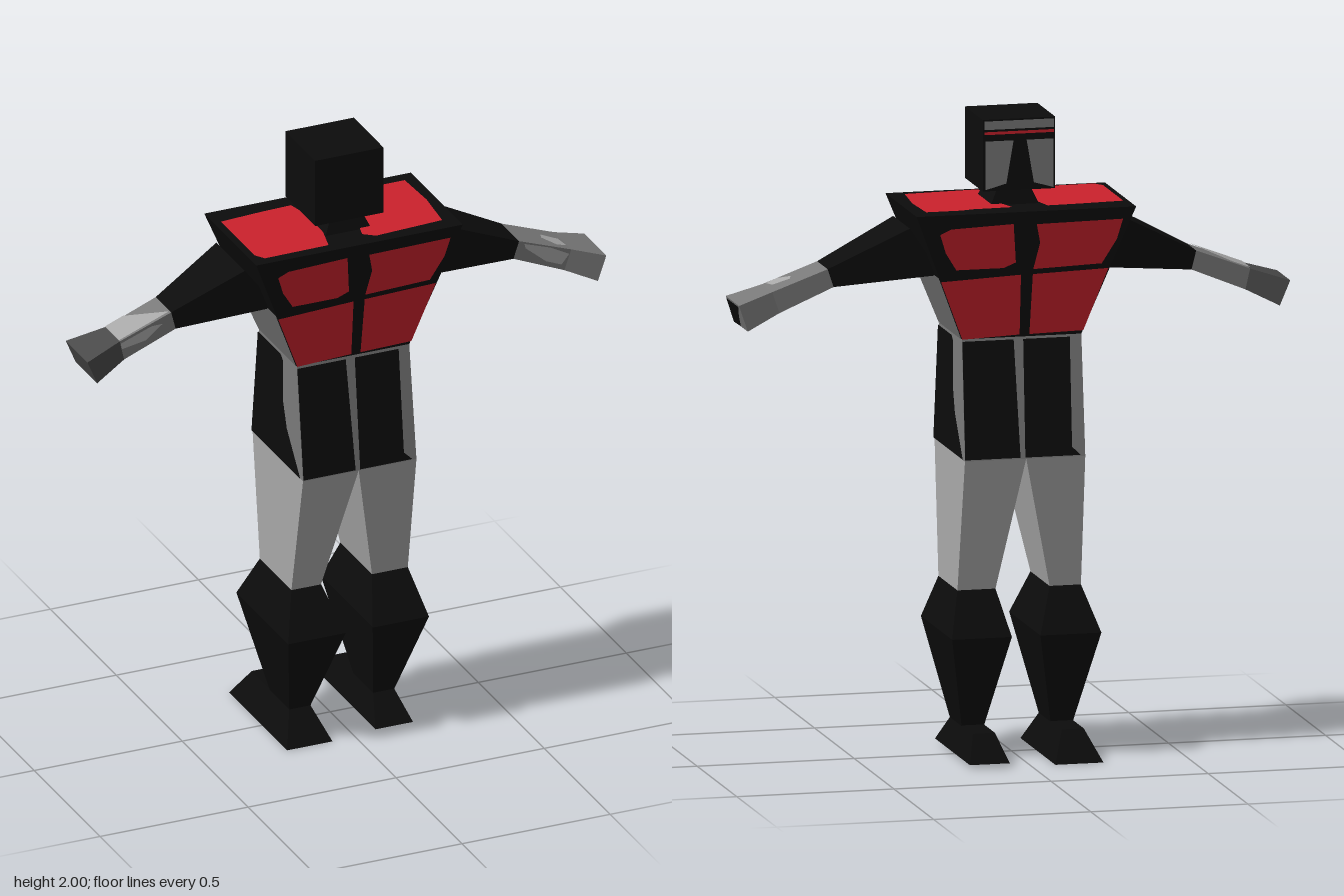
import * as THREE from 'three';

const mat = (name, color) => {
  const m = new THREE.MeshStandardMaterial({ color });
  m.name = name;
  return m;
};

// Four-cornered rings. Ring order is counter-clockwise seen from the far end.
// Upright ring: side 0 = +z, 1 = +x, 2 = -z, 3 = -x
const ringY = (y, x0, x1, z0, z1) =>
  [[x0, y, z1], [x1, y, z1], [x1, y, z0], [x0, y, z0]].map(p => new THREE.Vector3(...p));
// Sideways ring: side 0 = bottom, 1 = -z, 2 = top, 3 = +z
const ringX = (xt, yt, xb, yb, z0, z1) =>
  [[xb, yb, z1], [xb, yb, z0], [xt, yt, z0], [xt, yt, z1]].map(p => new THREE.Vector3(...p));

// Outer quad of one side between two rings
const side = (a, b, i) => [a[i], a[(i + 1) % 4], b[(i + 1) % 4], b[i]];

function build(parent, name, points, material) {
  const geo = new THREE.BufferGeometry().setFromPoints(points);
  geo.computeVertexNormals();
  const mesh = new THREE.Mesh(geo, material);
  mesh.name = name;
  parent.add(mesh);
}

// Closed faceted solid through a row of rings
function loft(parent, name, rings, material) {
  const pts = [];
  const quad = (a, b, c, d) => pts.push(a, b, c, a, c, d);
  for (let k = 0; k + 1 < rings.length; k++)
    for (let i = 0; i < 4; i++) quad(...side(rings[k], rings[k + 1], i));
  quad(...[...rings[0]].reverse());
  quad(...rings[rings.length - 1]);
  build(parent, name, pts, material);
}

// Thin painted patch laid on a quad, outlined in the quad's own 0..1 coordinates
function panel(parent, name, quad, uv, material, lift = 0.004) {
  const outline = uv.map(p => new THREE.Vector2(...p));
  if (THREE.ShapeUtils.isClockWise(outline)) outline.reverse();
  const [bl, br, tr, tl] = quad;
  const normal = tr.clone().sub(bl).cross(tl.clone().sub(br)).normalize().multiplyScalar(lift);
  const place = p => bl.clone().lerp(br, p.x).lerp(tl.clone().lerp(tr, p.x), p.y).add(normal);
  const pts = THREE.ShapeUtils.triangulateShape(outline, []).flatMap(f => f.map(i => place(outline[i])));
  build(parent, name, pts, material);
}

const rect = (u0, v0, u1, v1) => [[u0, v0], [u1, v0], [u1, v1], [u0, v1]];

export function createModel() {
  const model = new THREE.Group();
  model.name = 'armouredFigure';
  const black = mat('black', 0x0c0c0c);
  const red = mat('red', 0xcc212c);
  const light = mat('lightGrey', 0xa8a8a8);
  const grey = mat('midGrey', 0x7a7a7a);
  const dark = mat('darkGrey', 0x4a4a4a);

  const group = name => {
    const g = new THREE.Group();
    g.name = name;
    model.add(g);
    return g;
  };

  // Head with visor face on -z
  const head = group('head');
  const jaw = ringY(1.775, -0.125, 0.105, -0.058, 0.167);
  const crown = ringY(2, -0.125, 0.105, -0.058, 0.167);
  loft(head, 'helmet', [jaw, crown], black);
  loft(head, 'neck', [ringY(1.715, -0.085, 0.075, -0.025, 0.15), ringY(1.78, -0.055, 0.045, -0.01, 0.13)], black);
  const face = side(jaw, crown, 2);
  panel(head, 'brow', face, rect(0.02, 0.86, 0.98, 0.98), grey);
  panel(head, 'browStripe', face, rect(0.02, 0.79, 0.98, 0.83), red);
  panel(head, 'cheek', face, [[0.03, 0.02], [0.32, 0.1], [0.42, 0.7], [0.03, 0.7]], grey);
  panel(head, 'cheek', face, [[0.97, 0.02], [0.7, 0.1], [0.6, 0.7], [0.97, 0.7]], grey);

  // Chest with armour panels
  const chest = group('chest');
  const waist = ringY(1.32, -0.2, 0.18, -0.09, 0.195);
  const shoulders = ringY(1.723, -0.36, 0.338, -0.147, 0.247);
  loft(chest, 'chestBody', [waist, shoulders], black);
  const chestPanels = [
    [[0.08, 0.85], [0.14, 0.89], [0.44, 0.91], [0.45, 0.6], [0.38, 0.56], [0.11, 0.56], [0.08, 0.7]],
    [[0.55, 0.9], [0.96, 0.91], [0.97, 0.75], [0.94, 0.56], [0.55, 0.54], [0.575, 0.75]],
    [[0, 0.47], [0.48, 0.5], [0.48, 0.02], [0, 0]],
    [[0.55, 0.5], [0.99, 0.52], [1, 0.03], [0.56, 0.02]],
  ];
  for (const i of [0, 2])
    for (const p of chestPanels) panel(chest, 'chestPanel', side(waist, shoulders, i), p, red);
  for (const i of [1, 3]) panel(chest, 'ribPanel', side(waist, shoulders, i), rect(0, 0, 1, 0.5), grey, 0.002);
  panel(chest, 'shoulderPanel', shoulders,
    [[0.03, 0.8], [0.24, 0.83], [0.38, 0.84], [0.41, 0.6], [0.4, 0.3], [0.37, 0.08], [0.06, 0.07], [0.03, 0.15]], red);
  panel(chest, 'shoulderPanel', shoulders,
    [[0.54, 0.84], [0.72, 0.85], [0.78, 0.88], [0.94, 0.88], [0.95, 0.5], [0.93, 0.12], [0.6, 0.08], [0.55, 0.15], [0.6, 0.5]], red);

  // Abdomen with dark plates
  const abdomen = group('abdomen');
  const hips = ringY(0.945, -0.2, 0.183, -0.14, 0.243);
  loft(abdomen, 'abdomenBody', [hips, waist], grey);
  for (const i of [0, 2]) {
    const q = side(hips, waist, i);
    panel(abdomen, 'bellyPlate', q, [[0, 0.01], [0.46, 0.01], [0.43, 0.98], [0, 0.98]], black);
    panel(abdomen, 'bellyPlate', q, [[0.5, 0.01], [0.96, 0.01], [0.89, 0.08], [0.9, 0.98], [0.51, 0.98]], black);
  }
  for (const i of [1, 3])
    panel(abdomen, 'flankPlate', side(hips, waist, i),
      [[0, 0.01], [0.97, 0.01], [0.72, 0.35], [0.65, 0.56], [0.66, 0.94], [0.6, 0.98], [0, 0.98]], black);

  // Legs: [hip x, knee x, calf x, ankle x, sole x, sole y]
  const legs = {
    rightLeg: [[-0.2, -0.012], [-0.2, -0.1], [-0.247, -0.053], [-0.185, -0.115], [-0.23, -0.077], 0],
    leftLeg: [[-0.012, 0.183], [0.072, 0.193], [0.038, 0.228], [0.098, 0.168], [0.068, 0.195], 0.012],
  };
  for (const [name, [hip, knee, calf, ankle, sole, y]] of Object.entries(legs)) {
    const leg = group(name);
    const kneeRing = ringY(0.53, ...knee, -0.085, 0.155);
    loft(leg, 'thigh', [kneeRing, ringY(0.945, ...hip, -0.14, 0.243)], light);
    loft(leg, 'boot', [ringY(0.09, ...ankle, -0.04, 0.105), ringY(0.39, ...calf, -0.157, 0.237), kneeRing], black);
    loft(leg, 'foot', [ringY(y, ...sole, -0.25, 0.19), ringY(0.096, ...ankle, -0.18, 0.105)], black);
  }

  // Right arm, from hand to shoulder
  const rightArm = group('rightArm');
  const r = [
    ringX(-0.88, 1.443, -0.847, 1.365, -0.03, 0.135),
    ringX(-0.76, 1.48, -0.745, 1.415, 0, 0.11),
    ringX(-0.587, 1.546, -0.572, 1.487, -0.005, 0.112),
    ringX(-0.36, 1.665, -0.25, 1.52, -0.055, 0.16),
  ];
  loft(rightArm, 'hand', [r[0], r[1]], dark);
  loft(rightArm, 'forearm', [r[1], r[2]], grey);
  loft(rightArm, 'upperArm', [r[2], r[3]], black);
  panel(rightArm, 'forearmPatch', side(r[1], r[2], 3), [[0.1, 0], [0.4, 0], [0.65, 0.45], [0.3, 0.8], [0.1, 0.6]], light);
  panel(rightArm, 'forearmPatch', side(r[1], r[2], 2), [[0.02, 0], [0.02, 0.35], [0.95, 0.98], [0.98, 0]], light);

  // Left arm, from shoulder to hand
  const leftArm = group('leftArm');
  const l = [
    ringX(0.338, 1.67, 0.24, 1.52, -0.06, 0.15),
    ringX(0.592, 1.549, 0.573, 1.492, -0.03, 0.103),
    ringX(0.768, 1.485, 0.745, 1.418, -0.028, 0.103),
    ringX(0.878, 1.45, 0.85, 1.368, -0.045, 0.122),
  ];
  loft(leftArm, 'upperArm', [l[0], l[1]], black);
  loft(leftArm, 'forearm', [l[1], l[2]], grey);
  loft(leftArm, 'hand', [l[2], l[3]], grey);
  panel(leftArm, 'forearmPatch', side(l[1], l[2], 3),
    [[0.08, 0.1], [0.3, 0.15], [0.75, 0.6], [0.75, 0.9], [0.2, 0.98], [0.05, 0.6]], light);
  panel(leftArm, 'forearmPatch', side(l[1], l[2], 2), [[0.4, 0.6], [0.6, 0.55], [0.9, 0.75], [0.85, 0.95], [0.5, 0.9]], light);
  panel(leftArm, 'knuckles', l[3], [[0, 0], [0.55, 0.05], [0.7, 0.5], [0.95, 0.95], [0.05, 0.95]], black, 0.002);
  panel(leftArm, 'palmPatch', side(l[2], l[3], 0), [[0.2, 0.1], [0.8, 0.2], [0.9, 0.95], [0.1, 0.9]], dark);

  return model;
}
